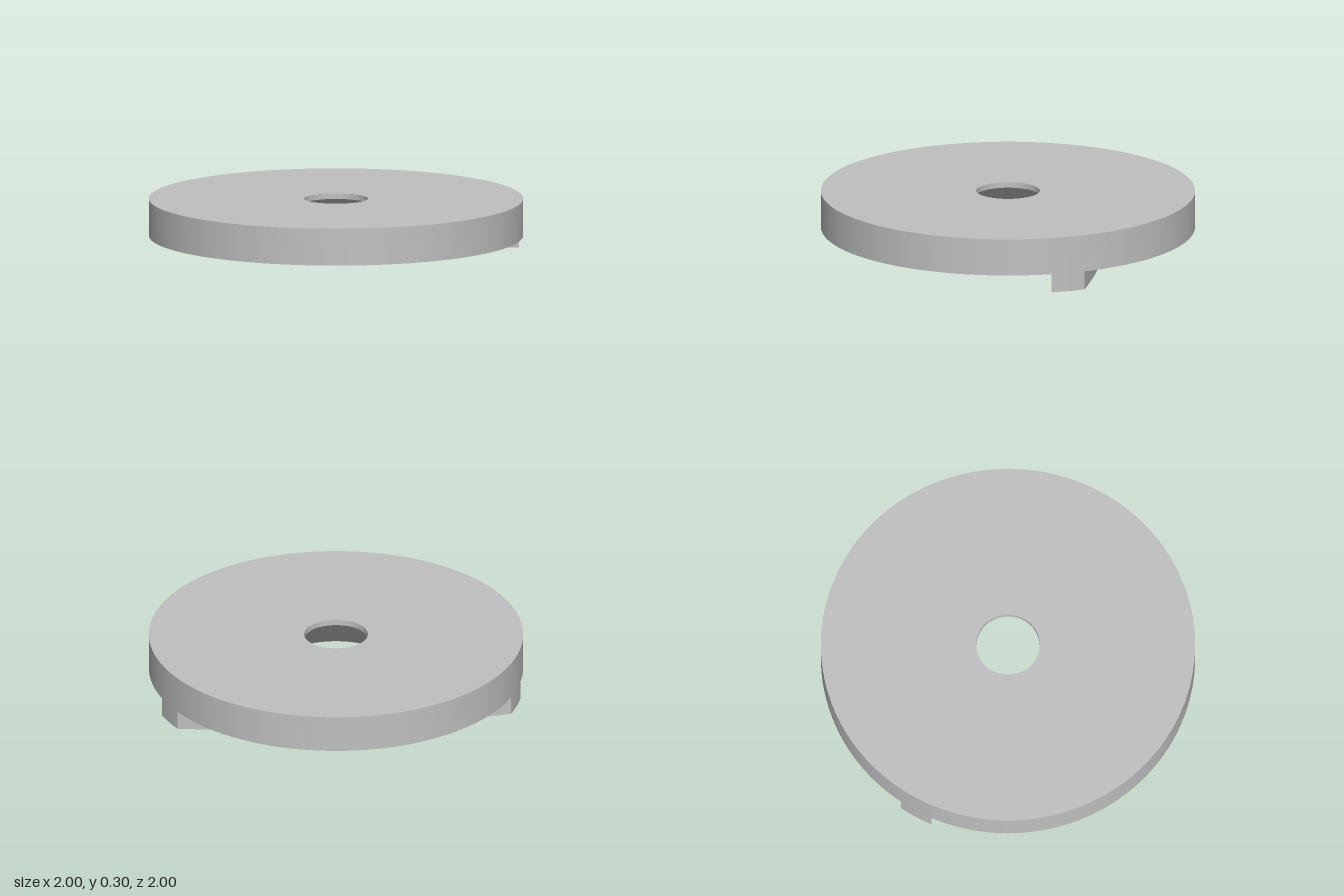
import * as THREE from 'three';
import { toCreasedNormals } from 'three/addons/utils/BufferGeometryUtils.js';

const grey = new THREE.MeshStandardMaterial({ color: 0xc0c0c0 });
grey.name = 'grey';

function addPart(group, geometry, name) {
  const mesh = new THREE.Mesh(toCreasedNormals(geometry, 0.4), grey);
  mesh.name = name;
  group.add(mesh);
}

export function createModel() {
  const model = new THREE.Group();
  model.name = 'countersunkDisc';

  // Disc with a countersunk hole that widens towards the underside
  const profile = [
    [0.32, 0.1], [1, 0.1], [1, 0.3], [0.17, 0.3], [0.17, 0.27], [0.32, 0.1],
  ].map(([r, y]) => new THREE.Vector2(r, y));
  addPart(model, new THREE.LatheGeometry(profile, 128), 'disc');

  // Curved rib under the disc: two concentric arcs trimmed by the disc's rim
  const depth = 4.84, inner = 5.2, outer = 5.36;
  const meet = (r) => (r * r - 1 - depth * depth) / (2 * depth);
  const rimAngle = (r) => Math.asin(meet(r));
  const arcAngle = (r) => Math.asin((meet(r) + depth) / r);
  const a = rimAngle(inner), b = rimAngle(outer);
  const ai = arcAngle(inner), ao = arcAngle(outer);

  const rib = new THREE.Shape();
  rib.absarc(0, 0, 1, a, b, false);
  rib.absarc(0, -depth, outer, ao, Math.PI - ao, false);
  rib.absarc(0, 0, 1, Math.PI - b, Math.PI - a, false);
  rib.absarc(0, -depth, inner, Math.PI - ai, ai, true);
  const ribGeometry = new THREE.ExtrudeGeometry(rib, {
    depth: 0.1, bevelEnabled: false, curveSegments: 24,
  });
  ribGeometry.rotateX(-Math.PI / 2);
  addPart(model, ribGeometry, 'curvedRib');

  return model;
}
